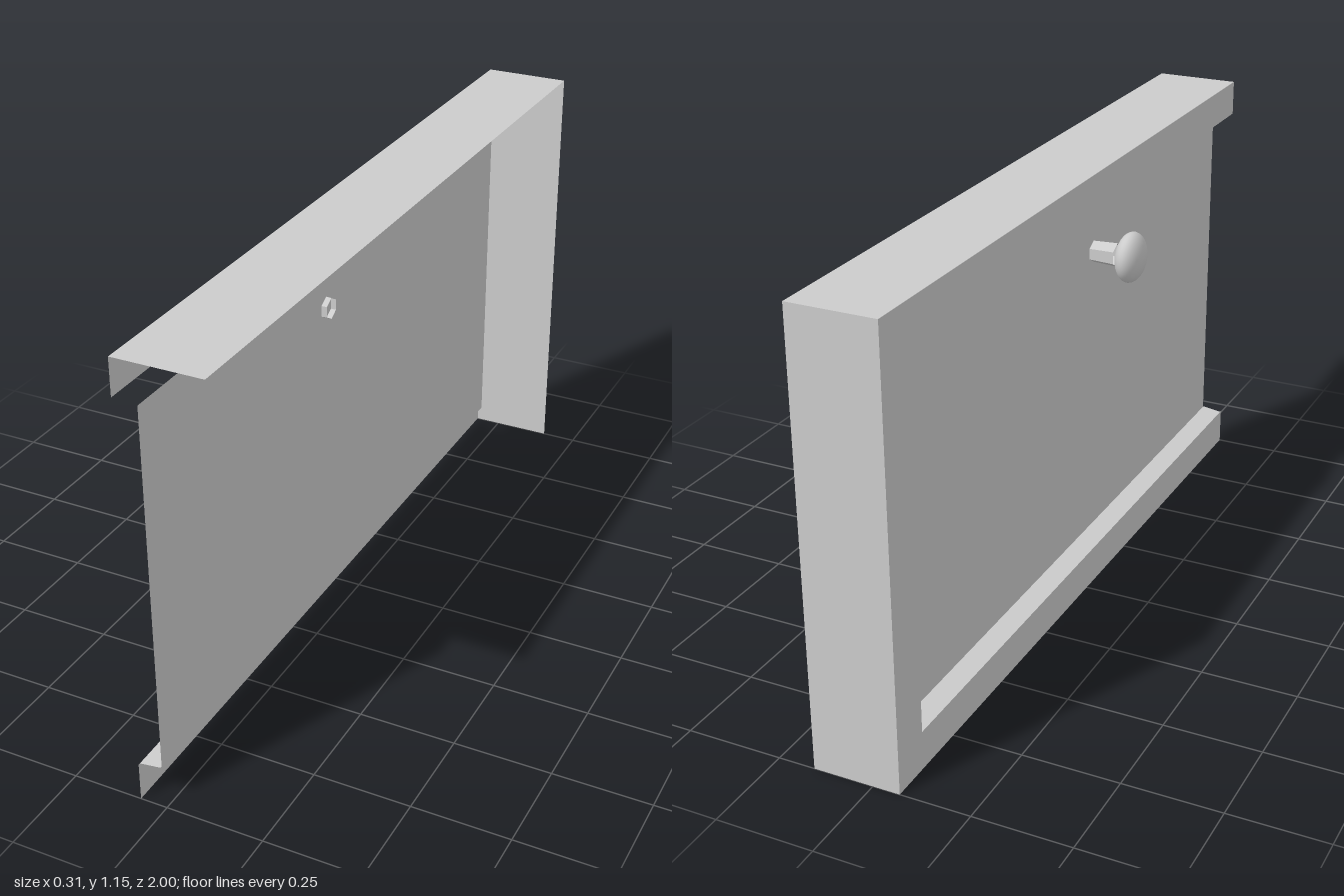
import * as THREE from 'three';

export function createModel() {
  const model = new THREE.Group();
  const sheet = new THREE.MeshStandardMaterial({ color: 0xcccccc, side: THREE.DoubleSide, flatShading: true });
  const smooth = new THREE.MeshStandardMaterial({ color: 0xcccccc, side: THREE.DoubleSide });
  const H = 1.15, FACE = -0.07, EDGE = 0.155, PANEL = -0.014;

  const add = (name, geometry, material = sheet) => {
    const mesh = new THREE.Mesh(geometry, material);
    mesh.name = name;
    model.add(mesh);
    return mesh;
  };

  // Flat outline given as [z, y] pairs, stood upright facing -x
  const upright = (points) =>
    new THREE.ShapeGeometry(new THREE.Shape(points.map(([z, y]) => new THREE.Vector2(z, y)))).rotateY(-Math.PI / 2);

  // C-shaped face of the casing, open at the +z end
  add('casingFace', upright([
    [1, 0], [1, 0.1], [-0.892, 0.1], [-0.892, 1.056],
    [1, 1.056], [1, H], [-1, H], [-1, 0],
  ])).position.x = FACE;

  // Casing top and end flanges
  const depth = EDGE - FACE, midX = (EDGE + FACE) / 2;
  add('casingTop', new THREE.PlaneGeometry(depth, 2).rotateX(-Math.PI / 2)).position.set(midX, H, 0);
  add('casingEnd', new THREE.PlaneGeometry(depth, H).rotateY(Math.PI)).position.set(midX, H / 2, -1);

  // Recessed panel
  add('panel', upright([[0.99, 0.108], [0.99, 1.046], [-0.887, 1.046], [-0.887, 0.108]])).position.x = PANEL;

  // Sill rising slightly from the casing face to the panel
  const run = PANEL - FACE, rise = 0.008;
  const sill = add('sill', new THREE.PlaneGeometry(Math.hypot(run, rise), 1.887).rotateX(-Math.PI / 2));
  sill.rotation.z = Math.atan2(rise, run);
  sill.position.set((PANEL + FACE) / 2, 0.1 + rise / 2, 0.051);

  // Knob: six-sided open stem and rounded head, both along x
  const knobY = 0.903, knobZ = 0.152;
  const stem = new THREE.CylinderGeometry(0.032, 0.028, 0.081, 6, 1, true)
    .rotateY(Math.PI / 2).rotateZ(Math.PI / 2);
  add('knobStem', stem).position.set(-0.0405, knobY, knobZ);

  const profile = [];
  for (let i = 0; i <= 14; i++) {
    const a = Math.PI * (-0.34 + (0.84 * i) / 14);
    profile.push(new THREE.Vector2(Math.max(0, 0.066 * Math.cos(a)), 0.036 * Math.sin(a)));
  }
  const head = new THREE.LatheGeometry(profile, 32).rotateZ(Math.PI / 2);
  add('knobHead', head, smooth).position.set(-0.119, knobY, knobZ);

  return model;
}
